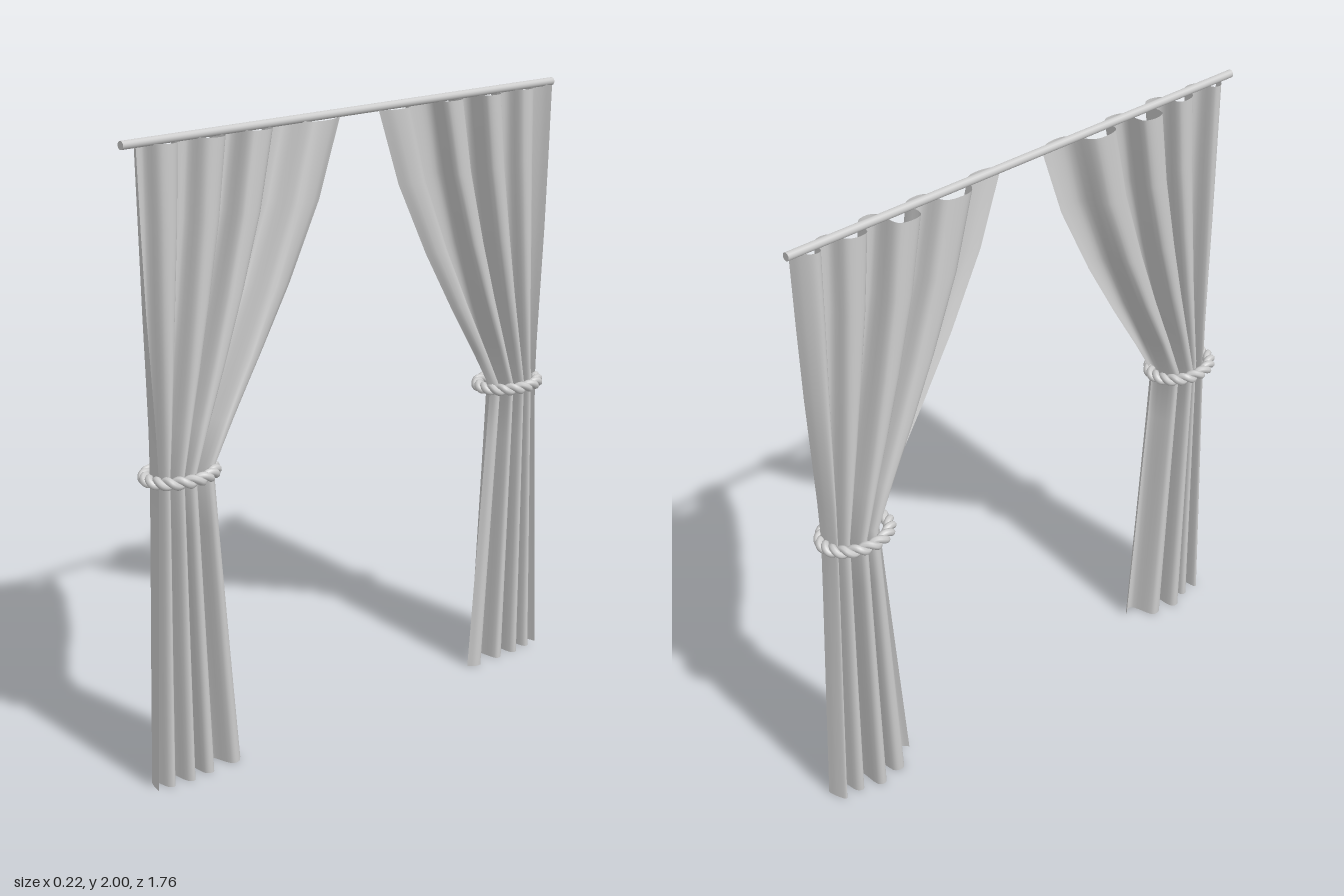
import * as THREE from 'three';

const material = new THREE.MeshStandardMaterial({ color: 0xcccccc });
const clothMaterial = new THREE.MeshStandardMaterial({ color: 0xcccccc, side: THREE.DoubleSide });

// Pleats across the cloth: [fraction from inner to outer edge, depth x]
const pleats = [
  [0, 0.02], [0.06, 0.04], [0.15, 0.035], [0.21, -0.035], [0.27, -0.045], [0.34, -0.03],
  [0.36, 0.035], [0.41, 0.045], [0.46, 0.03], [0.47, -0.045], [0.52, -0.06], [0.58, -0.045],
  [0.59, 0.035], [0.63, 0.05], [0.68, 0.035], [0.70, -0.025], [0.74, -0.035], [0.79, -0.02],
  [0.81, 0.03], [0.85, 0.04], [0.89, 0.025], [0.91, -0.025], [0.94, -0.03], [0.98, 0.0], [1, 0.03],
];
// Edges of the gathered cloth down its height: [y, inner z, outer z]
const edges = [
  [1.98, 0.08, 0.85], [1.74, 0.165, 0.842], [1.5, 0.287, 0.832], [1.3, 0.405, 0.82],
  [1.13, 0.512, 0.81], [0.99, 0.595, 0.805], [0.8, 0.58, 0.811], [0.4, 0.545, 0.826], [0, 0.51, 0.84],
];

// Cloth lofted from one pleat section, narrowed towards the tie
function curtain(side) {
  const section = new THREE.CatmullRomCurve3(
    pleats.map(([s, x]) => new THREE.Vector3(x, 0, s)), false, 'centripetal').getPoints(96);
  const positions = [], indices = [];
  const n = section.length;
  edges.forEach(([y, inner, outer], row) => {
    section.forEach((p, i) => {
      positions.push(p.x, y, side * (inner + (outer - inner) * p.z));
      if (row === 0 || i === 0) return;
      const d = row * n + i, c = d - 1, b = d - n, a = b - 1;
      if (side > 0) indices.push(a, b, c, b, d, c);
      else indices.push(a, c, b, b, c, d);
    });
  });
  const geometry = new THREE.BufferGeometry();
  geometry.setAttribute('position', new THREE.Float32BufferAttribute(positions, 3));
  geometry.setIndex(indices);
  geometry.computeVertexNormals();
  return new THREE.Mesh(geometry, clothMaterial);
}

// One strand winding around an oval ring
class Strand extends THREE.Curve {
  constructor(phase) {
    super();
    this.phase = phase;
  }
  getPoint(t, target = new THREE.Vector3()) {
    const a = t * Math.PI * 2, w = a * 9 + this.phase, out = 0.009 * Math.cos(w);
    return target.set((0.087 + out) * Math.cos(a), 0.009 * Math.sin(w), (0.114 + out) * Math.sin(a));
  }
}

function ropeTie() {
  const tie = new THREE.Group();
  for (const phase of [0, Math.PI]) {
    const strand = new THREE.Mesh(new THREE.TubeGeometry(new Strand(phase), 160, 0.012, 8, true), material);
    strand.name = 'ropeStrand';
    tie.add(strand);
  }
  return tie;
}

export function createModel() {
  const model = new THREE.Group();
  model.name = 'tiedCurtains';

  const rod = new THREE.Mesh(new THREE.CylinderGeometry(0.013, 0.013, 1.76, 16), material);
  rod.name = 'curtainRod';
  rod.rotation.x = Math.PI / 2;
  rod.position.y = 1.987;
  model.add(rod);

  for (const side of [1, -1]) {
    const label = side > 0 ? 'front' : 'back';
    const cloth = curtain(side);
    cloth.name = label + 'Curtain';
    const tie = ropeTie();
    tie.name = label + 'RopeTie';
    tie.position.set(-0.003, 0.987, side * 0.702);
    model.add(cloth, tie);
  }
  return model;
}
